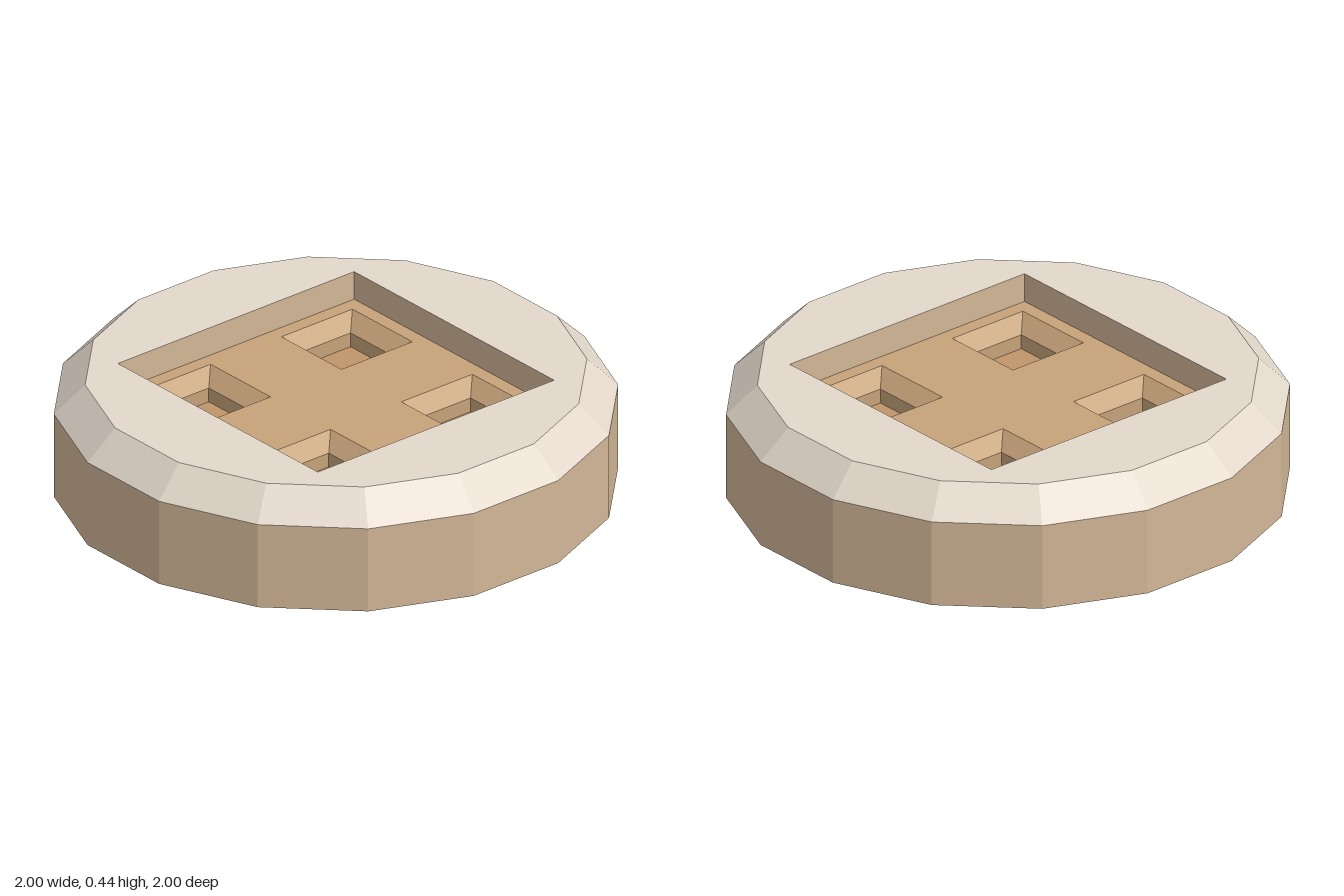
import * as THREE from 'three';

const U = 1 / 9; // design unit: the disc is 18 units wide, 4 units high
const SIDES = 16;

const mat = (color) => new THREE.MeshStandardMaterial({ color, flatShading: true });

// Wall of an n-sided prism or frustum, sized by half width across the flats
function wall(n, bottomHalf, topHalf, y0, y1, inward = false) {
  const k = 1 / Math.cos(Math.PI / n);
  const geo = new THREE.CylinderGeometry(topHalf * k, bottomHalf * k, y1 - y0, n, 1, true)
    .rotateY(Math.PI / n)
    .translate(0, (y0 + y1) / 2, 0)
    .toNonIndexed();
  if (inward) geo.scale(1, 1, -1); // mirrors the winding so the faces look inward
  geo.computeVertexNormals();
  return geo;
}

// Corners of a regular polygon with flats facing the axes
function polygon(n, half, cx = 0, cy = 0) {
  const r = half / Math.cos(Math.PI / n);
  return Array.from({ length: n }, (_, i) => {
    const a = ((i + 0.5) * 2 * Math.PI) / n;
    return new THREE.Vector2(cx + r * Math.cos(a), cy + r * Math.sin(a));
  });
}

// Level plate facing up, with optional holes
function plate(outline, y, holes = []) {
  const shape = new THREE.Shape(outline);
  holes.forEach((h) => shape.holes.push(new THREE.Path(h)));
  return new THREE.ShapeGeometry(shape).rotateX(-Math.PI / 2).translate(0, y, 0);
}

export function createModel() {
  const model = new THREE.Group();
  model.name = 'buttonDisc';

  const body = mat(0xd3b797);
  const rim = mat(0xe3d8cb);
  const recess = mat(0xc6a27a);
  const pocketBase = mat(0xc0966a);
  const add = (name, geo, material, parent = model) => {
    const mesh = new THREE.Mesh(geo, material);
    mesh.name = name;
    parent.add(mesh);
    return mesh;
  };

  // Outer body
  add('side', wall(SIDES, 9 * U, 9 * U, 0, 3 * U), body);
  add('underside', plate(polygon(SIDES, 9 * U), 0).rotateX(Math.PI), body);

  // Pale bevelled rim around a square opening
  add('rimBevel', wall(SIDES, 9 * U, 8 * U, 3 * U, 4 * U), rim);
  add('rimTop', plate(polygon(SIDES, 8 * U), 4 * U, [polygon(4, 5 * U)]), rim);
  add('recessWall', wall(4, 5 * U, 5 * U, 3 * U, 4 * U, true), body);

  // Recess floor with four pockets
  const centres = [[-1, -1], [1, -1], [1, 1], [-1, 1]].map((c) => c.map((v) => v * 3 * U));
  const holes = centres.map(([x, z]) => polygon(4, 1.5 * U, x, -z));
  add('recessFloor', plate(polygon(4, 5 * U), 3 * U, holes), recess);

  // Each pocket: sloped edge, straight wall, flat base
  const slope = wall(4, U, 1.5 * U, 2.5 * U, 3 * U, true);
  const straight = wall(4, U, U, 2 * U, 2.5 * U, true);
  const base = plate(polygon(4, U), 2 * U);
  for (const [x, z] of centres) {
    const pocket = new THREE.Group();
    pocket.name = 'pocket';
    pocket.position.set(x, 0, z);
    add('pocketSlope', slope, recess, pocket);
    add('pocketWall', straight, recess, pocket);
    add('pocketBase', base, pocketBase, pocket);
    model.add(pocket);
  }
  return model;
}
